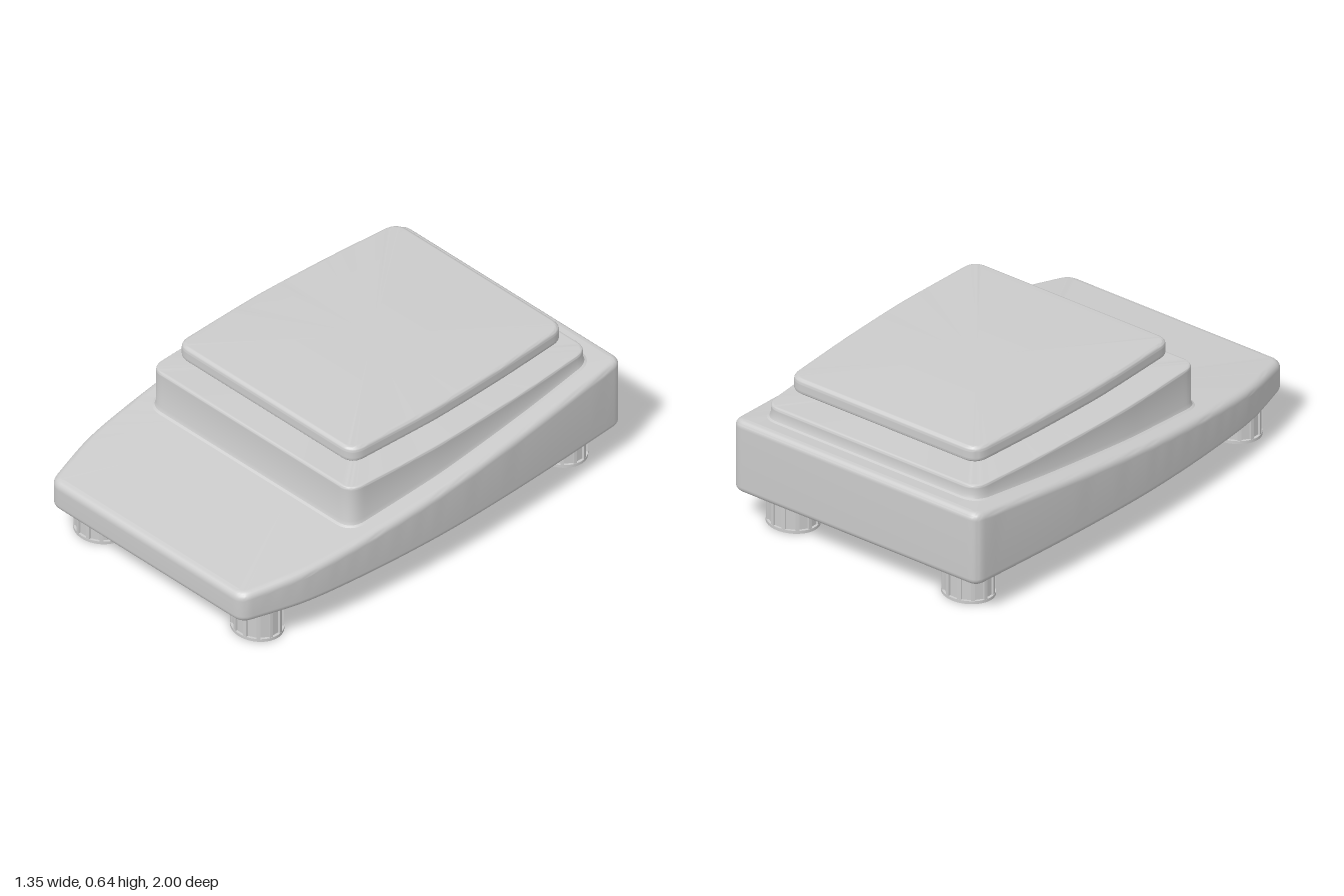
import * as THREE from 'three';
import { toCreasedNormals } from 'three/addons/utils/BufferGeometryUtils.js';

const material = new THREE.MeshStandardMaterial({ color: 0xcccccc });

// Closed plan outline, mirrored in x: bowed sides with rounded corners.
// corners: back [x, z] and front [x, z]; side: points between, from back to front.
function outline(back, side, front, r) {
  const v = ([x, z]) => new THREE.Vector2(x, z);
  const first = v(side[0]), last = v(side[side.length - 1]);
  const half = [
    new THREE.Vector2(0, back[1]),
    ...new THREE.QuadraticBezierCurve(v([back[0] - r, back[1]]), v(back), first).getPoints(8),
    ...new THREE.SplineCurve(side.map(v)).getPoints(32).slice(1, -1),
    ...new THREE.QuadraticBezierCurve(last, v(front), v([front[0] - r, front[1]])).getPoints(8),
    new THREE.Vector2(0, front[1]),
  ];
  const mirrored = half.slice(1, -1).reverse().map((p) => new THREE.Vector2(-p.x, p.y));
  return [...half, ...mirrored];
}

// Stack of inset copies of an outline, capped at both ends.
// rings: [inset, y] from bottom to top, where y is a number or a function of z.
function loft(name, points, rings) {
  const n = points.length;
  const normals = points.map((p, j) => {
    const a = p.clone().sub(points[(j + n - 1) % n]).normalize();
    const b = points[(j + 1) % n].clone().sub(p).normalize();
    const t = a.add(b).normalize();
    return new THREE.Vector2(t.y, -t.x);
  });
  const height = (y, z) => (typeof y === 'function' ? y(z) : y);
  const pos = [], index = [];
  for (const [inset, y] of rings) {
    points.forEach((p, j) => {
      const z = p.y - normals[j].y * inset;
      pos.push(p.x - normals[j].x * inset, height(y, z), z);
    });
  }
  const bottom = pos.length / 3, top = bottom + 1;
  const midZ = (points[0].y + points[(n / 2)].y) / 2;
  pos.push(0, height(rings[0][1], midZ), midZ);
  pos.push(0, height(rings[rings.length - 1][1], midZ), midZ);
  const end = (rings.length - 1) * n;
  for (let j = 0; j < n; j++) {
    const k = (j + 1) % n;
    for (let i = 0; i < end; i += n) {
      index.push(i + j, i + n + j, i + k, i + k, i + n + j, i + n + k);
    }
    index.push(bottom, j, k, top, end + k, end + j);
  }
  const geo = new THREE.BufferGeometry();
  geo.setAttribute('position', new THREE.Float32BufferAttribute(pos, 3));
  geo.setIndex(index);
  const mesh = new THREE.Mesh(toCreasedNormals(geo, 0.65), material);
  mesh.name = name;
  return mesh;
}

// Rings of a rounded edge of radius r at height y (dir 1: top edge, -1: bottom edge)
function roundedEdge(r, y, dir) {
  const at = (d) => (typeof y === 'function' ? (z) => y(z) - dir * d : y - dir * d);
  const rings = [[0, at(r + 0.004)]];
  for (let i = 0; i <= 5; i++) {
    const a = (i / 5) * Math.PI / 2;
    rings.push([r * (1 - Math.cos(a)), at(r * (1 - Math.sin(a)))]);
  }
  rings.push([r + 0.004, at(0)]);
  return dir > 0 ? rings : rings.reverse();
}

// Grip foot: fluted barrel between a base disc and a collar
function makeFoot() {
  const foot = new THREE.Group();
  foot.name = 'foot';
  const shape = new THREE.Shape();
  const slots = 12, R = 0.099, r = 0.091, w = 0.19;
  for (let i = 0; i < slots; i++) {
    const a = (i / slots) * Math.PI * 2, next = a + Math.PI * 2 / slots;
    const go = (rad, ang) => shape.lineTo(rad * Math.cos(ang), rad * Math.sin(ang));
    if (i === 0) shape.moveTo(r * Math.cos(a - w), r * Math.sin(a - w));
    else go(r, a - w);
    go(r, a + w);
    go(R, a + w);
    go(R, (a + next) / 2);
    go(R, next - w);
  }
  const barrel = new THREE.Mesh(
    new THREE.ExtrudeGeometry(shape, { depth: 0.12, bevelEnabled: false }).rotateX(-Math.PI / 2), material);
  barrel.position.y = 0.012;
  barrel.name = 'footGrip';
  foot.add(barrel);
  for (const [name, y, h] of [['footBase', 0.0065, 0.013], ['footCollar', 0.14, 0.02]]) {
    const disc = new THREE.Mesh(new THREE.CylinderGeometry(0.1, 0.1, h, 48), material);
    disc.position.y = y;
    disc.name = name;
    foot.add(disc);
  }
  foot.scale.x = 1.14;
  return foot;
}

export function createModel() {
  const model = new THREE.Group();
  model.name = 'benchScale';
  const slope = (z) => 0.377 - 0.095 * z;

  // Wedge-shaped housing with bowed sides
  const bodyLine = outline([0.622, -1],
    [[0.626, -0.95], [0.658, -0.5], [0.674, -0.1], [0.67, 0.2], [0.65, 0.5], [0.62, 0.73], [0.558, 0.95]],
    [0.543, 1], 0.05);
  model.add(loft('housing', bodyLine,
    [...roundedEdge(0.03, 0.145, -1), ...roundedEdge(0.03, slope, 1)]));

  // Raised plinth, flared where it meets the sloping housing
  const plinthLine = outline([0.535, -0.9],
    [[0.542, -0.83], [0.568, -0.5], [0.585, -0.1], [0.583, 0.1], [0.573, 0.36]],
    [0.57, 0.43], 0.07);
  model.add(loft('plinth', plinthLine, [
    [-0.016, (z) => slope(z) - 0.02],
    [-0.016, slope],
    [-0.006, (z) => slope(z) + 0.005],
    [0, (z) => Math.min(slope(z) + 0.02, 0.5)],
    ...roundedEdge(0.01, 0.522, 1),
  ]));

  // Neck under the pan, flaring out at its top
  const neckLine = outline([0.372, -0.7],
    [[0.378, -0.65], [0.395, -0.4], [0.405, -0.15], [0.403, 0], [0.396, 0.19]],
    [0.393, 0.237], 0.05);
  model.add(loft('neck', neckLine,
    [[0, 0.51], [0, 0.55], [-0.004, 0.56], [-0.012, 0.568], [-0.028, 0.574], [-0.028, 0.585]]));

  // Weighing pan
  const panLine = outline([0.475, -0.826],
    [[0.482, -0.76], [0.503, -0.45], [0.514, -0.15], [0.513, 0], [0.503, 0.29]],
    [0.5, 0.355], 0.065);
  model.add(loft('weighingPan', panLine,
    [...roundedEdge(0.015, 0.573, -1), ...roundedEdge(0.018, 0.64, 1)]));

  // Four feet
  for (const x of [-0.445, 0.445]) {
    for (const z of [-0.835, 0.82]) {
      const foot = makeFoot();
      foot.position.set(x, 0, z);
      model.add(foot);
    }
  }
  return model;
}
